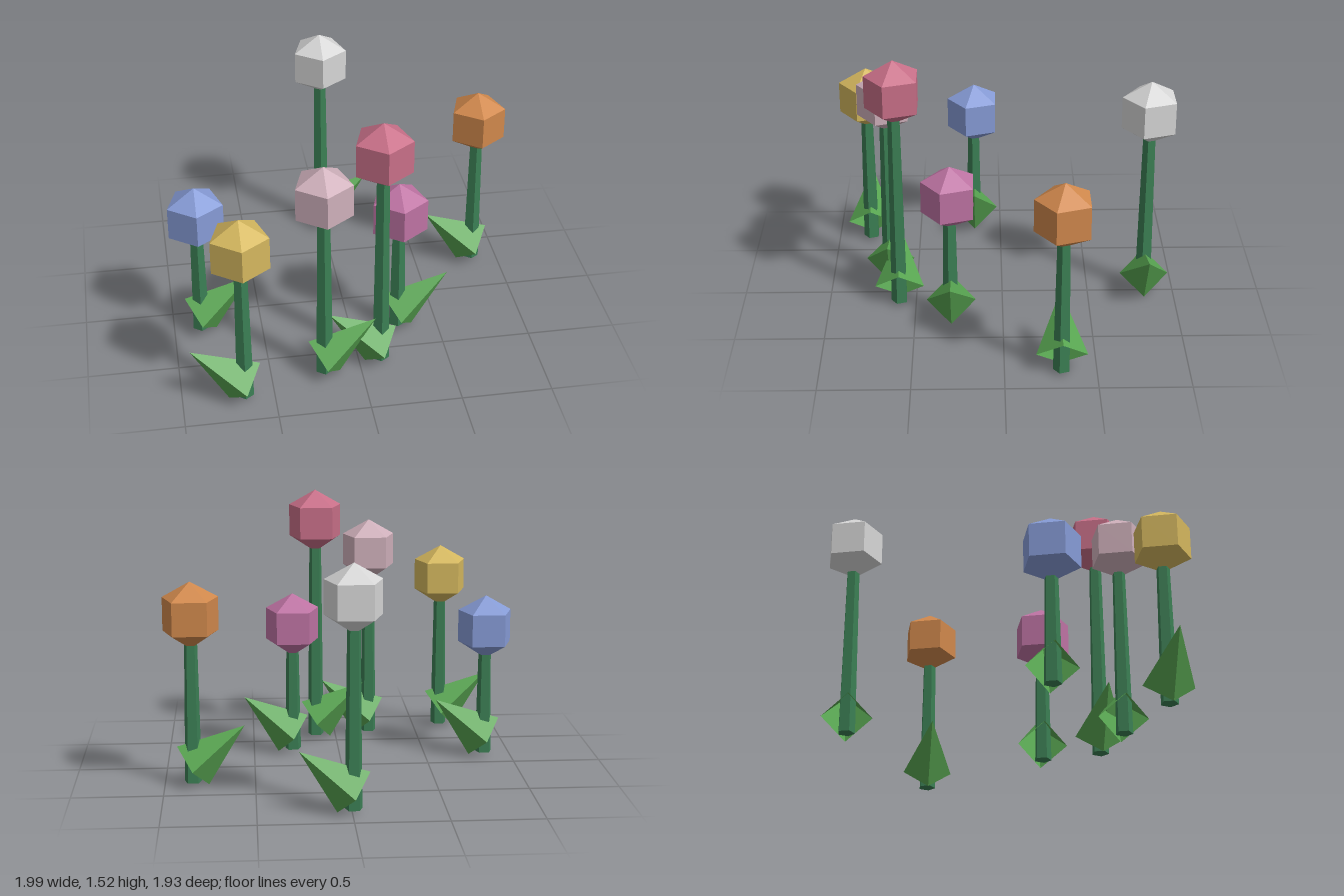
import * as THREE from 'three';

function material(name, color, extra = {}) {
  const m = new THREE.MeshStandardMaterial({ color, flatShading: true, ...extra });
  m.name = name;
  return m;
}

// x, z, height of the blossom centre, side the leaf points to, colour
const FLOWERS = [
  ['blue', -0.845, 0.16, 0.77, 1, 0x869bd6],
  ['yellow', -0.66, 0.8, 0.96, -1, 0xd4b75e],
  ['mauve', -0.205, 0.66, 1.145, 1, 0xcfb0bb],
  ['rose', 0.12, 0.593, 1.335, -1, 0xc86f88],
  ['purple', 0.27, 0.293, 0.77, 1, 0xbe73a3],
  ['orange', 0.843, -0.31, 0.96, -1, 0xd0884c],
  ['white', -0.008, -0.828, 1.145, 1, 0xd6d6d6],
];

export function createModel() {
  const group = new THREE.Group();
  group.name = 'flowers';

  const stemGreen = material('stem green', 0x3b7f54);
  const leafGreen = material('leaf green', 0x58a551, { side: THREE.DoubleSide });

  // Five-sided blossom with one corner towards the front
  const blossomShape = new THREE.SphereGeometry(0.185, 5, 3, Math.PI / 2);

  // Open four-sided cone with its pivot at the middle of the base
  const leafShape = new THREE.ConeGeometry(0.14, 0.363, 4, 1, true);
  leafShape.translate(0, 0.1815, 0);

  for (const [name, x, z, height, side, color] of FLOWERS) {
    const flower = new THREE.Group();
    flower.name = name + 'Flower';
    flower.position.set(x, 0, z);

    const add = (part, geometry, mat, y) => {
      const mesh = new THREE.Mesh(geometry, mat);
      mesh.name = part;
      mesh.position.y = y;
      flower.add(mesh);
      return mesh;
    };

    // Tapered stem, ending inside the blossom
    const length = height - 0.02;
    add('stem', new THREE.CylinderGeometry(0.035, 0.049, length, 5), stemGreen, 0.02 + length / 2);
    add('blossom', blossomShape, material(name + ' petals', color), height);
    add('leaf', leafShape, leafGreen, 0.112).rotation.z = -side * 0.905;

    group.add(flower);
  }
  return group;
}
